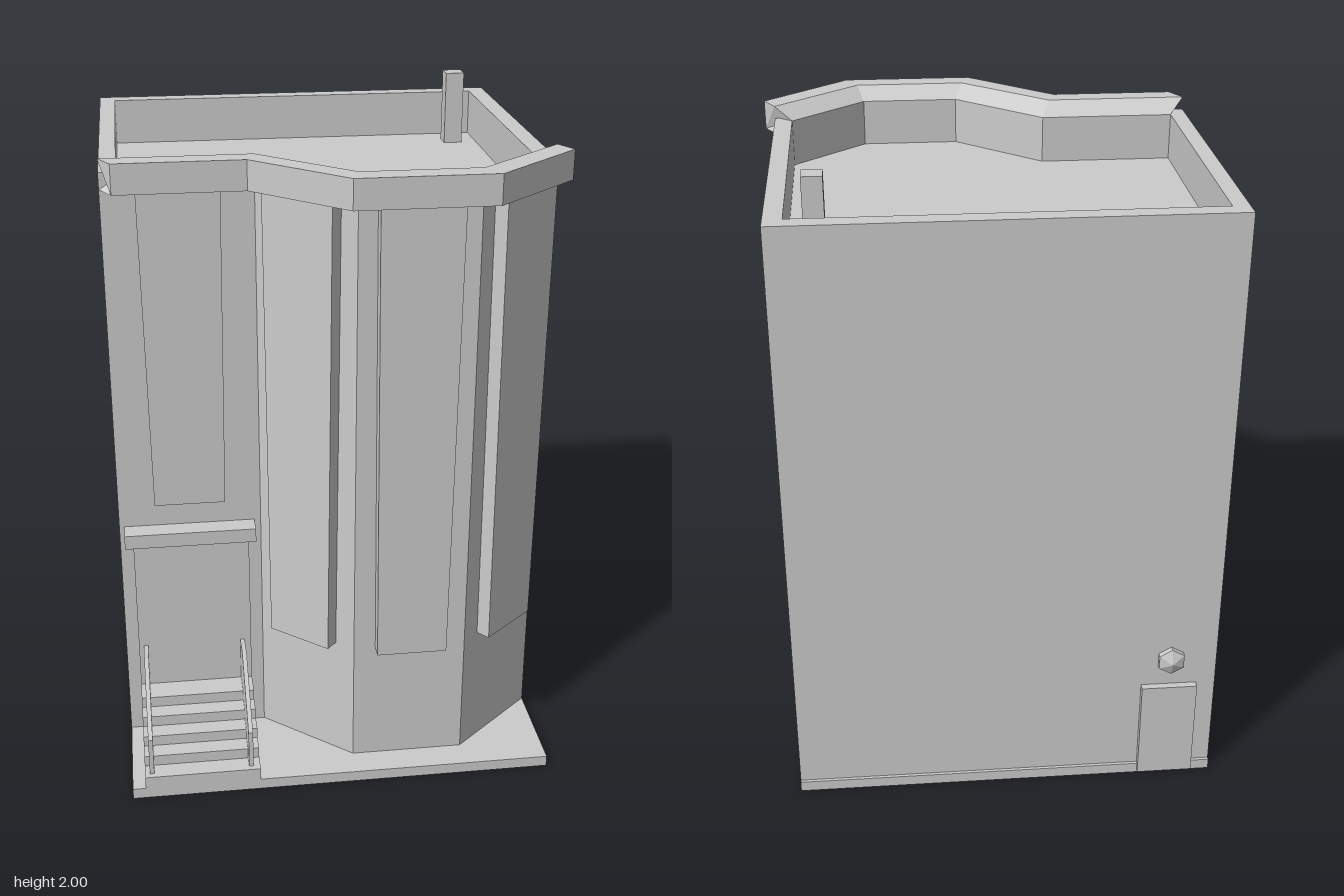
import * as THREE from 'three';

const material = new THREE.MeshStandardMaterial({ color: 0xcccccc, flatShading: true });

// Facade corners (x, z) from the building's right to its left
const facade = [[-0.68, 0.345], [-0.24, 0.345], [0.025, 0.575], [0.375, 0.575], [0.64, 0.345]];
const parapetFront = [[-0.63, 0.285], [-0.215, 0.285], [0.05, 0.52], [0.355, 0.52], [0.585, 0.315]];
const corniceFront = [[-0.645, 0.41], [-0.265, 0.41], [0, 0.645], [0.41, 0.645], [0.675, 0.41]];
const back = -0.64, deckY = 1.765, wallTop = 1.91;

export function createModel() {
  const group = new THREE.Group();

  const add = (name, geometry) => {
    const mesh = new THREE.Mesh(geometry, material);
    mesh.name = name;
    group.add(mesh);
    return mesh;
  };

  // Box given by its limits
  const box = (name, x0, x1, y0, y1, z0, z1) => {
    const mesh = add(name, new THREE.BoxGeometry(x1 - x0, y1 - y0, z1 - z0));
    mesh.position.set((x0 + x1) / 2, (y0 + y1) / 2, (z0 + z1) / 2);
    return mesh;
  };

  // Upright prism over a plan outline, with an optional opening
  const toPlan = (points) => points.map(([x, z]) => new THREE.Vector2(x, -z));
  const prism = (name, outline, y0, y1, opening) => {
    const shape = new THREE.Shape(toPlan(outline));
    if (opening) shape.holes.push(new THREE.Path(toPlan(opening)));
    const geometry = new THREE.ExtrudeGeometry(shape, { depth: y1 - y0, bevelEnabled: false });
    geometry.rotateX(-Math.PI / 2).translate(0, y0, 0);
    return add(name, geometry);
  };

  // Ground slab, building body and parapet around the sunken roof
  box('baseSlab', -0.68, 0.64, 0, 0.035, -0.65, 0.67);
  const outline = [...facade, [0.64, back], [-0.68, back]];
  const roofOpening = [...parapetFront, [0.585, -0.585], [-0.63, -0.585]];
  prism('body', outline, 0.035, deckY);
  prism('parapet', outline, deckY, wallTop, roofOpening);
  box('chimney', 0.475, 0.535, deckY, 2, -0.51, -0.45);

  // Cornice following the facade, sloping down inward to the parapet
  add('cornice', corniceGeometry());

  // Bay windows: shallow panels narrowing slightly downwards
  const windowBottoms = [0.875, 0.43, 0.43, 0.43];
  windowBottoms.forEach((bottom, i) => {
    const [ax, az] = facade[i], [bx, bz] = facade[i + 1];
    const height = 1.86 - bottom;
    const geometry = new THREE.BoxGeometry(0.24, height, 0.09);
    const pos = geometry.attributes.position;
    for (let k = 0; k < pos.count; k++) {
      if (pos.getY(k) < 0) pos.setX(k, pos.getX(k) * 0.9);
    }
    geometry.computeVertexNormals();
    const panel = add('windowPanel', geometry);
    panel.position.set((ax + bx) / 2, bottom + height / 2, (az + bz) / 2);
    panel.rotation.y = Math.atan2(az - bz, bx - ax);
  });

  // Front entrance
  box('frontDoor', -0.64, -0.28, 0.215, 0.74, 0.33, 0.365);
  box('doorCanopy', -0.665, -0.26, 0.74, 0.785, 0.33, 0.41);

  // Stairs
  const treadFronts = [0.67, 0.61, 0.555, 0.5, 0.445];
  treadFronts.forEach((z, i) => {
    const y0 = i ? 0.04 + 0.035 * i : 0.035;
    box('step', -0.64, -0.28, y0, 0.075 + 0.035 * i, 0.335, z);
  });

  // Sloping stair side walls, drawn in (z, y) and extruded across x
  const railProfile = [[0.345, 0.075], [0.652, 0.075], [0.652, 0.2], [0.445, 0.36], [0.345, 0.36]];
  for (const x of [-0.625, -0.315]) {
    const shape = new THREE.Shape(railProfile.map(([z, y]) => new THREE.Vector2(-z, y)));
    const geometry = new THREE.ExtrudeGeometry(shape, { depth: 0.014, bevelEnabled: false });
    geometry.rotateY(Math.PI / 2).translate(x, 0, 0);
    add('stairRail', geometry);
  }

  // Back door and its faceted lamp
  box('backDoor', -0.62, -0.445, 0.01, 0.345, -0.662, -0.62);
  const lampBody = add('lampBody', new THREE.CylinderGeometry(0.045, 0.045, 0.03, 6));
  lampBody.rotation.x = -Math.PI / 2;
  lampBody.position.set(-0.535, 0.44, -0.642);
  const lampCap = add('lampCap', new THREE.ConeGeometry(0.045, 0.018, 6));
  lampCap.rotation.x = -Math.PI / 2;
  lampCap.position.set(-0.535, 0.44, -0.666);

  return group;
}

// Lofts the cornice cross-section along the facade and closes both ends
function corniceGeometry() {
  const sections = facade.map(([wx, wz], i) => {
    const [ox, oz] = corniceFront[i], [ix, iz] = parapetFront[i];
    return [
      [ox, 1.86, oz], [ox, 1.95, oz], [wx, 1.95, wz],
      [ix, wallTop, iz], [wx, 1.86, wz],
    ];
  });
  const positions = [];
  const triangle = (a, b, c) => positions.push(...a, ...b, ...c);
  for (let i = 0; i < sections.length - 1; i++) {
    const p = sections[i], q = sections[i + 1];
    for (let j = 0; j < p.length; j++) {
      const n = (j + 1) % p.length;
      triangle(p[j], q[j], q[n]);
      triangle(p[j], q[n], p[n]);
    }
  }
  const first = sections[0], last = sections[sections.length - 1];
  for (let j = 1; j < first.length - 1; j++) {
    triangle(first[0], first[j], first[j + 1]);
    triangle(last[0], last[j + 1], last[j]);
  }
  const geometry = new THREE.BufferGeometry();
  geometry.setAttribute('position', new THREE.Float32BufferAttribute(positions, 3));
  geometry.computeVertexNormals();
  return geometry;
}
